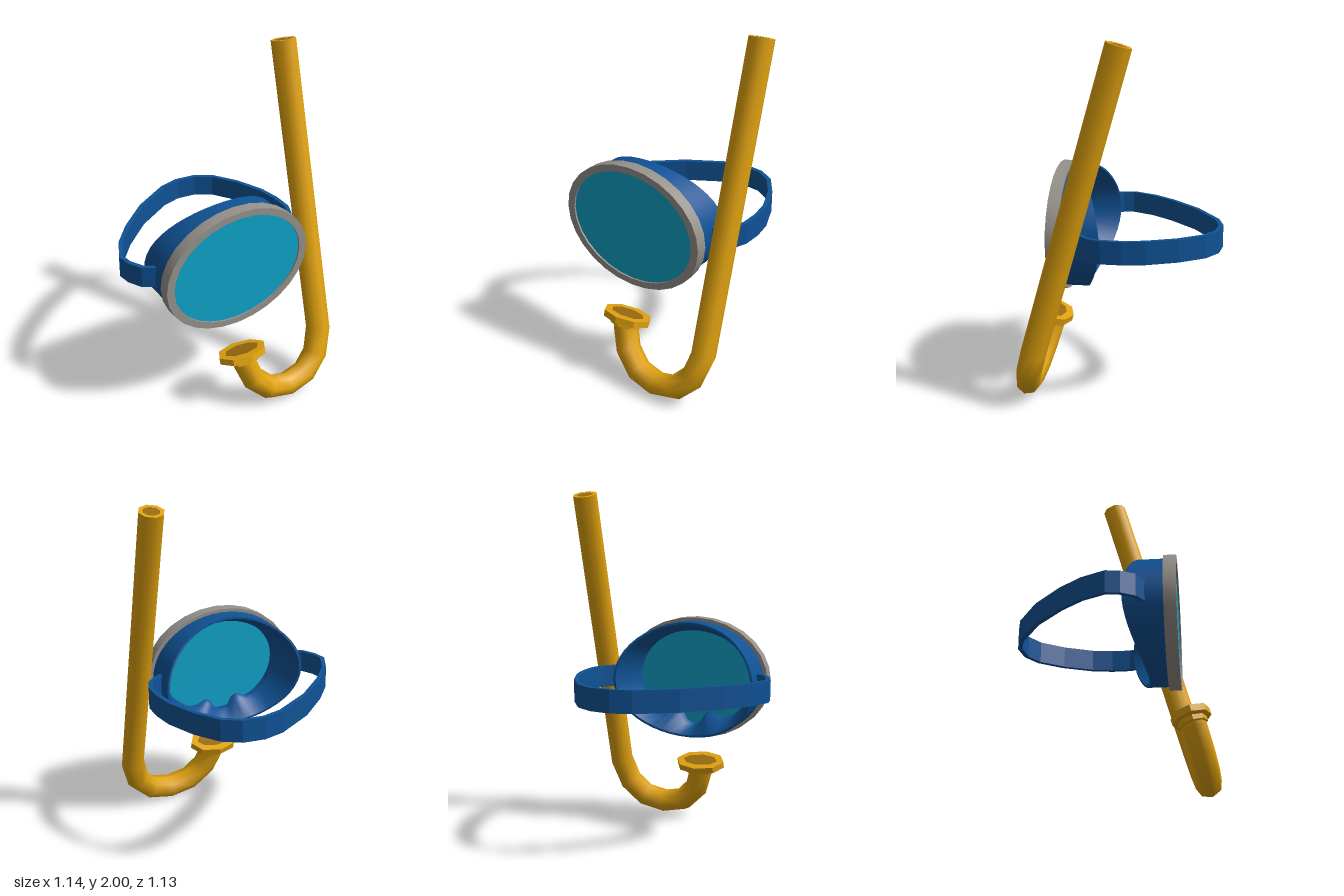
import * as THREE from 'three';
import { mergeGeometries } from 'three/addons/utils/BufferGeometryUtils.js';

const mat = (name, color, side = THREE.FrontSide) => {
  const m = new THREE.MeshStandardMaterial({ color, side });
  m.name = name;
  return m;
};

// Smooth skin over a list of closed rings of points
function skin(rings) {
  const n = rings[0].length, index = [];
  for (let r = 0; r < rings.length - 1; r++) {
    for (let i = 0; i < n; i++) {
      const j = (i + 1) % n, a = r * n + i, b = r * n + j;
      index.push(a, b, b + n, a, b + n, a + n);
    }
  }
  const g = new THREE.BufferGeometry().setFromPoints(rings.flat());
  g.setIndex(index);
  g.computeVertexNormals();
  return g;
}

// Same, with a sharp edge at every ring
const sharpSkin = (rings) =>
  mergeGeometries(rings.slice(1).map((ring, i) => skin([rings[i], ring])));

// Ellipse of points about the z axis; z and shrink may depend on angle
function oval(rx, ry, z, shrink = () => 0, n = 48) {
  return Array.from({ length: n }, (_, i) => {
    const a = (i / n) * Math.PI * 2, k = 1 - shrink(a);
    return new THREE.Vector3(rx * k * Math.cos(a), ry * k * Math.sin(a), typeof z === 'number' ? z : z(a));
  });
}

export function createModel() {
  const model = new THREE.Group();
  const yellow = mat('snorkel yellow', 0xe0a20f);
  const brown = mat('bore brown', 0x98690f);
  const blue = mat('rubber blue', 0x0f5295, THREE.DoubleSide);
  const grey = mat('frame grey', 0x96918b);
  const cyan = mat('lens cyan', 0x10a3c9, THREE.DoubleSide);

  const add = (parent, name, geometry, material, x = 0, y = 0, z = 0) => {
    const mesh = new THREE.Mesh(geometry, material);
    mesh.name = name;
    mesh.position.set(x, y, z);
    parent.add(mesh);
    return mesh;
  };

  // Mask: frame, lens and face skirt
  const mask = new THREE.Group();
  mask.name = 'mask';
  mask.position.set(-0.034, 0.912, 0);
  model.add(mask);

  const ring = (rx, ry, z) => oval(rx, ry, z, undefined, 28);
  add(mask, 'frame', sharpSkin([
    ring(0.404, 0.322, 0.297), ring(0.45, 0.36, 0.297), ring(0.45, 0.36, 0.365),
    ring(0.404, 0.322, 0.365), ring(0.404, 0.322, 0.297),
  ]), grey);
  add(mask, 'lens', new THREE.CircleGeometry(1, 28), cyan, 0, 0, 0.355).scale.set(0.406, 0.324, 1);

  // Skirt back edge is hollowed for the face; two nose folds rise at the bottom inside
  const faceEdge = (a) => 0.197 - 0.117 * Math.cos(a) ** 2;
  const folds = (a) => {
    const d = Math.abs(a - Math.PI * 1.5);
    return 0.28 * Math.exp(-(((d - 0.34) / 0.19) ** 2));
  };
  add(mask, 'skirt', mergeGeometries([
    skin([
      oval(0.355, 0.283, 0.3, folds),
      oval(0.375, 0.298, (a) => 0.3 * 0.6 + faceEdge(a) * 0.4, folds),
      oval(0.415, 0.328, faceEdge),
    ]),
    sharpSkin([oval(0.415, 0.328, faceEdge), oval(0.428, 0.34, faceEdge), oval(0.428, 0.34, 0.3)]),
    sharpSkin([oval(0.355, 0.283, 0.34), oval(0.355, 0.283, 0.3, folds)]),
    sharpSkin([oval(0.402, 0.32, 0.3), oval(0.355, 0.283, 0.3, folds)]),
  ]), blue);

  // Head strap: a flat band following a centre line seen from above (x, z)
  const line = [
    [-0.445, 0.195], [-0.512, 0.152], [-0.551, 0.08], [-0.562, 0.01], [-0.497, -0.12],
    [-0.39, -0.245], [-0.215, -0.4], [0, -0.525], [0.113, -0.553], [0.23, -0.538],
    [0.325, -0.478], [0.416, -0.345], [0.484, -0.18], [0.504, -0.06], [0.503, 0.05],
    [0.475, 0.12], [0.44, 0.155], [0.385, 0.195],
  ].map(([x, z]) => new THREE.Vector2(x, -z));
  const edge = (offset) => line.map((p, i) => {
    const t = line[Math.min(i + 1, line.length - 1)].clone().sub(line[Math.max(i - 1, 0)]).normalize();
    return new THREE.Vector2(p.x - t.y * offset, p.y + t.x * offset);
  });
  const band = new THREE.ExtrudeGeometry(
    new THREE.Shape([...edge(0.0125), ...edge(-0.0125).reverse()]),
    { depth: 0.125, bevelEnabled: false },
  );
  band.rotateX(-Math.PI / 2);
  add(model, 'strap', band, blue, 0, 0.855, 0);

  // Snorkel: built upright in its own plane, then leaned back
  const snorkel = new THREE.Group();
  snorkel.name = 'snorkel';
  snorkel.position.set(0, 0.07, 0.495);
  snorkel.rotation.x = -0.276;
  model.add(snorkel);

  const path = [
    [-0.033, 0.295], [-0.03, 0.25], [0.013, 0.125], [0.107, 0.03], [0.235, 0],
    [0.365, 0.03], [0.457, 0.125], [0.5, 0.275], [0.5, 1.985],
  ].map(([x, y]) => new THREE.Vector3(x, y, 0));
  const radius = 0.07;
  const tubeRings = path.map((p, i) => {
    const before = p.clone().sub(path[Math.max(i - 1, 0)]).normalize();
    const after = path[Math.min(i + 1, path.length - 1)].clone().sub(p).normalize();
    const t = before.add(after).normalize();
    return Array.from({ length: 8 }, (_, k) => {
      const a = (k / 8) * Math.PI * 2, c = radius * Math.cos(a);
      return new THREE.Vector3(p.x - t.y * c, p.y + t.x * c, radius * Math.sin(a));
    });
  });
  add(snorkel, 'tube', skin(tubeRings), yellow);

  // Open tube end: rim and dark bore
  const flat = (g) => g.rotateX(-Math.PI / 2);
  add(snorkel, 'tubeRim', flat(new THREE.RingGeometry(0.047, radius, 8)), yellow, 0.5, 1.985, 0);
  add(snorkel, 'tubeBore', flat(new THREE.CircleGeometry(0.048, 8)), brown, 0.5, 1.984, 0);

  // Mouthpiece: collar, oval flange and dark opening
  const oct = (r, h) => new THREE.CylinderGeometry(r, r, h, 8).toNonIndexed();
  const plate = (name, g, m, y, sx, sz) => {
    g.computeVertexNormals();
    add(snorkel, name, g, m, -0.033, y, 0).scale.set(sx, 1, sz);
  };
  plate('mouthpieceCollar', oct(1, 0.03), yellow, 0.275, 0.095, 0.08);
  plate('mouthpieceFlange', oct(1, 0.037), yellow, 0.306, 0.15, 0.108);
  plate('mouthpieceOpening', flat(new THREE.CircleGeometry(1, 8)), brown, 0.3265, 0.108, 0.062);

  return model;
}
